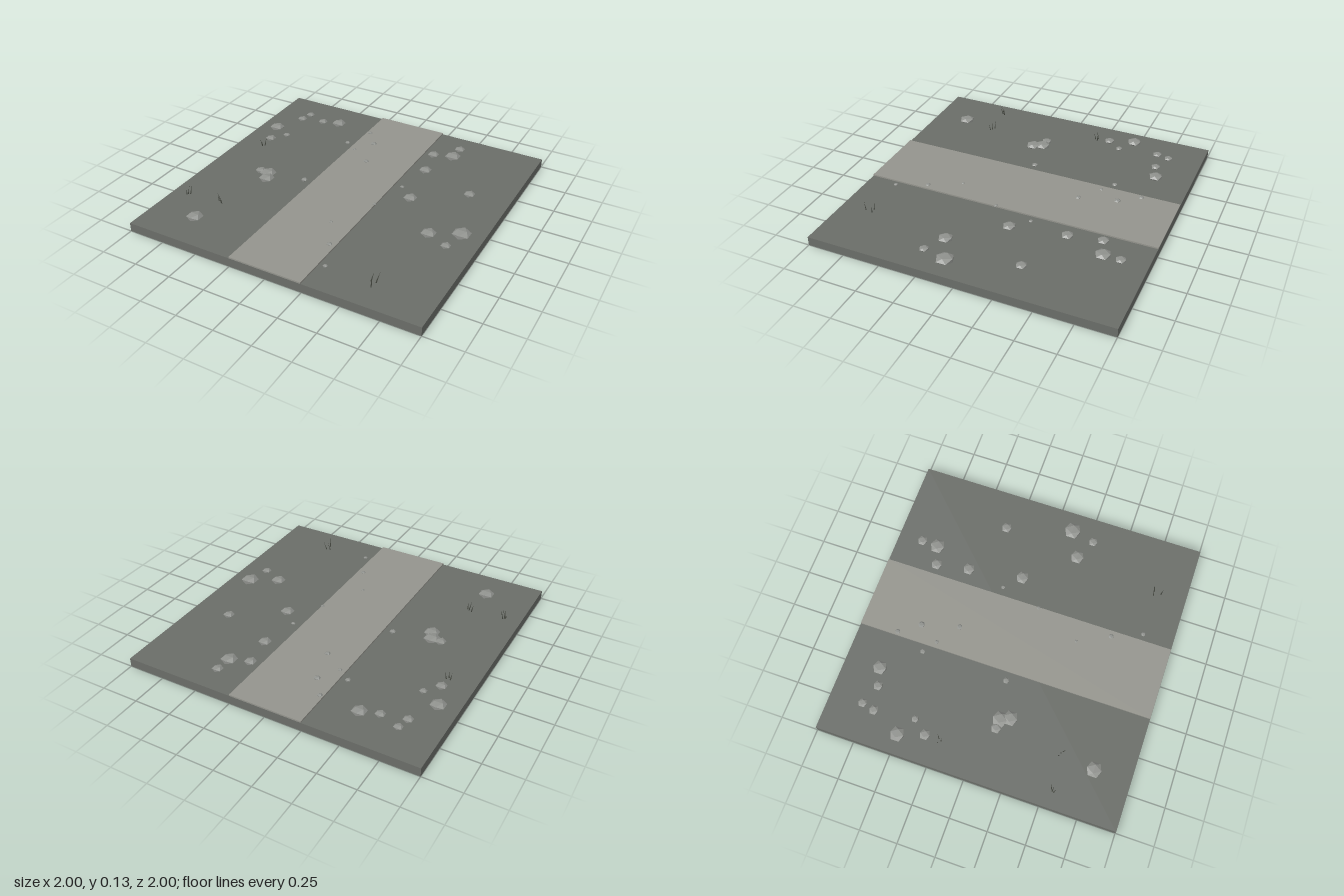
import * as THREE from 'three';

const material = (name, color, flatShading = false) => {
  const m = new THREE.MeshStandardMaterial({ color, flatShading });
  m.name = name;
  return m;
};

export function createModel() {
  const model = new THREE.Group();
  model.name = 'pathTile';
  const ground = material('ground grey', 0x6a6d68);
  const paving = material('path grey', 0x94948d);
  const stone = material('stone grey', 0x8f918d, true);
  const blade = material('dry grass', 0x474a42, true);

  const add = (parent, name, geometry, mat, x, y, z) => {
    const mesh = new THREE.Mesh(geometry, mat);
    mesh.name = name;
    mesh.position.set(x, y, z);
    parent.add(mesh);
    return mesh;
  };
  const group = (name) => {
    const g = new THREE.Group();
    g.name = name;
    model.add(g);
    return g;
  };

  // Ground slab with a slightly raised path running front to back
  add(model, 'groundSlab', new THREE.BoxGeometry(2, 0.06, 2), ground, 0, 0.03, 0);
  add(model, 'path', new THREE.BoxGeometry(0.495, 0.012, 2), paving, -0.002, 0.064, 0);

  // Flattened rocks and pebbles: [x, z, radius]
  const stoneShape = new THREE.IcosahedronGeometry(1, 0);
  const scatter = (parent, name, list, y, flatness) => {
    for (const [x, z, r] of list) {
      add(parent, name, stoneShape, stone, x, y, z).scale.set(r, r * flatness, r);
    }
  };
  scatter(group('rocks'), 'rock', [
    [-0.754, -0.775, 0.031], [-0.775, -0.69, 0.034], [-0.615, -0.725, 0.034],
    [-0.497, -0.76, 0.05], [-0.872, -0.49, 0.052], [-0.743, -0.418, 0.025],
    [-0.818, -0.322, 0.037], [-0.63, 0.09, 0.037], [-0.567, 0.095, 0.056],
    [-0.54, 0.155, 0.053], [-0.68, 0.758, 0.055], [0.45, -0.83, 0.037],
    [0.444, -0.717, 0.055], [0.315, -0.674, 0.04], [0.353, -0.455, 0.043],
    [0.733, -0.315, 0.038], [0.412, -0.09, 0.046], [0.86, 0.123, 0.062],
    [0.68, 0.214, 0.05], [0.824, 0.283, 0.033],
  ], 0.075, 0.4);
  scatter(group('pebbles'), 'pebble', [
    [-0.225, -0.745, 0.019], [-0.128, -0.613, 0.024], [-0.3, -0.538, 0.019],
    [-0.21, -0.475, 0.014], [-0.06, -0.368, 0.02], [-0.31, 0.046, 0.022],
    [0.24, 0.083, 0.014], [0.096, 0.393, 0.012], [0.205, 0.601, 0.018],
    [0.29, 0.797, 0.016], [0.305, -0.19, 0.015],
  ], 0.07, 0.5);

  // Grass tufts of leaning blades: [x, z, height, lean x, lean z]
  const tufts = [
    [[-0.835, -0.23, 0.05, -0.007, 0.01], [-0.81, -0.23, 0.06, 0.01, -0.008], [-0.822, -0.214, 0.05, 0.008, 0.008]],
    [[-0.895, 0.562, 0.06, 0.01, 0.012], [-0.88, 0.545, 0.075, 0.014, -0.01], [-0.892, 0.552, 0.07, 0.018, 0.004]],
    [[-0.665, 0.522, 0.06, -0.012, -0.004], [-0.645, 0.53, 0.07, -0.012, 0.006], [-0.632, 0.54, 0.05, 0.004, 0.012]],
    [[0.583, 0.784, 0.065, 0.012, -0.014], [0.614, 0.782, 0.075, 0.018, -0.015], [0.607, 0.83, 0.07, 0.006, 0.004]],
  ];
  const bladeShape = new THREE.ConeGeometry(0.0045, 1, 4).translate(0, 0.5, 0);
  const up = new THREE.Vector3(0, 1, 0);
  tufts.forEach((tuft) => {
    const g = group('grassTuft');
    for (const [x, z, h, dx, dz] of tuft) {
      const direction = new THREE.Vector3(dx, h, dz);
      const mesh = add(g, 'grassBlade', bladeShape, blade, x, 0.058, z);
      mesh.scale.y = direction.length();
      mesh.quaternion.setFromUnitVectors(up, direction.normalize());
    }
  });
  return model;
}
